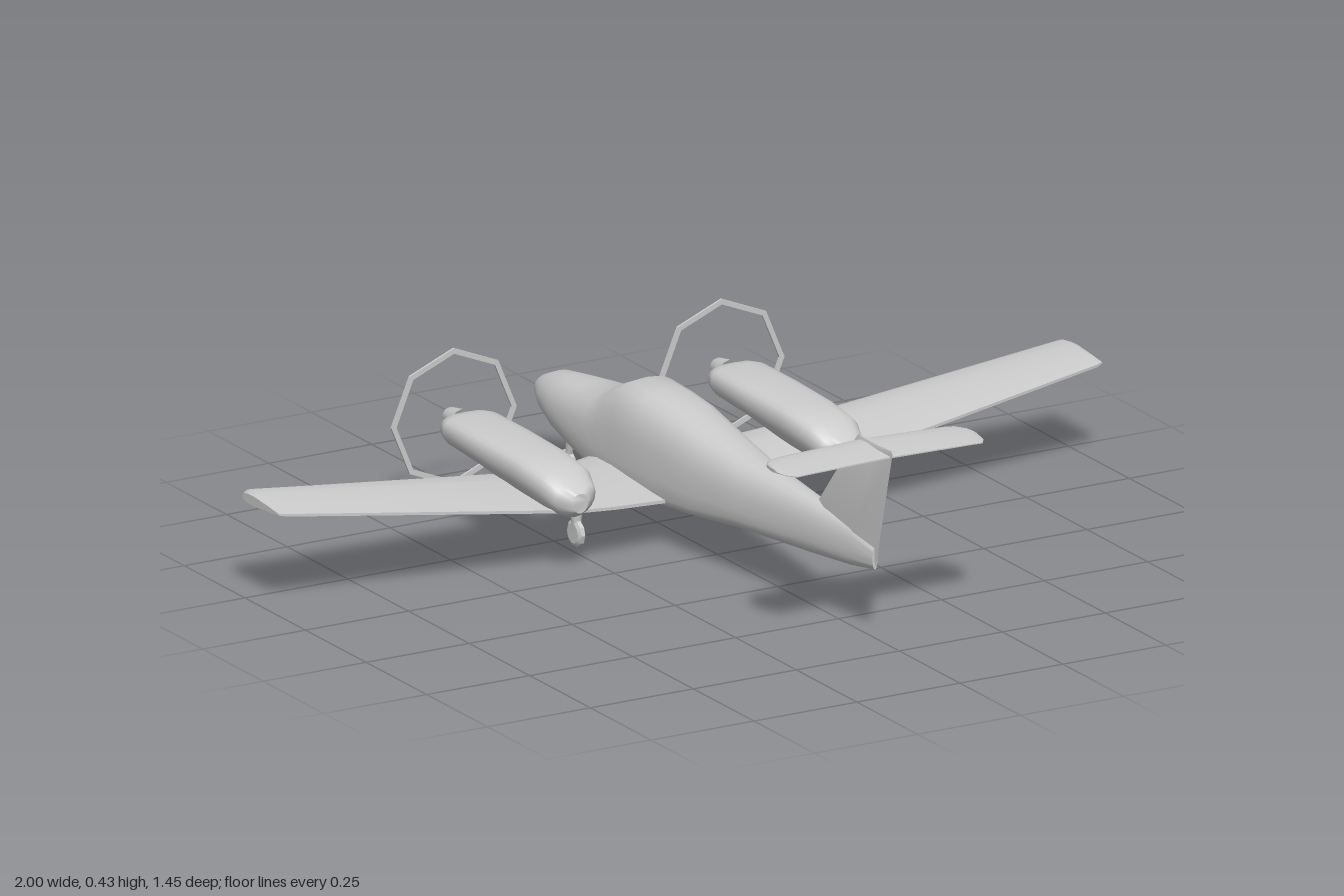
import * as THREE from 'three';
import { mergeVertices, toCreasedNormals } from 'three/addons/utils/BufferGeometryUtils.js';

const material = new THREE.MeshStandardMaterial({ color: 0xcccccc });

function addMesh(parent, name, geometry, x = 0, y = 0, z = 0) {
  const mesh = new THREE.Mesh(geometry, material);
  mesh.name = name;
  mesh.position.set(x, y, z);
  parent.add(mesh);
  return mesh;
}

// Closed skin over rings of [x, y, z]; rings run counter-clockwise about the loft direction
function loft(rings, crease = 0.6) {
  const n = rings[0].length;
  const positions = rings.flat(2);
  const index = [];
  for (let i = 0; i < rings.length - 1; i++) {
    for (let j = 0; j < n; j++) {
      const a = i * n + j, b = i * n + (j + 1) % n;
      index.push(a, b, b + n, a, b + n, a + n);
    }
  }
  const last = (rings.length - 1) * n;
  for (let j = 1; j < n - 1; j++) {
    index.push(0, j + 1, j, last, last + j, last + j + 1);
  }
  const geometry = new THREE.BufferGeometry();
  geometry.setAttribute('position', new THREE.Float32BufferAttribute(positions, 3));
  geometry.setIndex(index);
  return toCreasedNormals(mergeVertices(geometry, 1e-5), crease);
}

// Body section: half width, bottom, widest height, top, and squareness above and below
function bodyRing([z, w, bottom, mid, top, nTop, nBottom], sides) {
  const ring = [];
  for (let i = 0; i < sides; i++) {
    const t = (i / sides) * Math.PI * 2;
    const c = Math.cos(t), s = Math.sin(t);
    const p = 2 / (s >= 0 ? nTop : nBottom);
    const h = s >= 0 ? top - mid : bottom - mid;
    ring.push([w * Math.sign(c) * Math.abs(c) ** p, mid + h * Math.abs(s) ** p, z]);
  }
  return ring;
}

// Airfoil section: [chord fraction, height fraction], leading edge over the top to the trailing edge and back
const AIRFOIL = [[0, 0], [0.04, 0.3], [0.15, 0.48], [0.35, 0.5], [0.7, 0.3], [1, 0.08],
  [1, -0.08], [0.7, -0.3], [0.35, -0.5], [0.15, -0.48], [0.04, -0.3]];

// Symmetric wing from half-span stations [x, leading z, trailing z, y, thickness], root first
function wingGeometry(stations) {
  const mirrored = stations.slice(1).reverse().map(([x, ...rest]) => [-x, ...rest]);
  return loft([...mirrored, ...stations].map(([x, z0, z1, y, t]) =>
    AIRFOIL.map(([u, v]) => [x, y + v * t, z0 + u * (z1 - z0)])));
}

function strut(from, to, radiusTop, radiusBottom) {
  const a = new THREE.Vector3(...from), b = new THREE.Vector3(...to);
  const axis = a.clone().sub(b);
  const geometry = new THREE.CylinderGeometry(radiusTop, radiusBottom, axis.length(), 8);
  geometry.applyQuaternion(new THREE.Quaternion().setFromUnitVectors(
    new THREE.Vector3(0, 1, 0), axis.clone().normalize()));
  return geometry.translate(...a.add(b).multiplyScalar(0.5).toArray());
}

function wheelGeometry(radius, width) {
  const r = width / 2;
  const profile = [[0, -r], [radius * 0.75, -r], [radius, -r * 0.5],
    [radius, r * 0.5], [radius * 0.75, r], [0, r]];
  const geometry = new THREE.LatheGeometry(profile.map(p => new THREE.Vector2(...p)), 10);
  return toCreasedNormals(geometry.rotateZ(Math.PI / 2), 0.5);
}

function createEngine(side) {
  const engine = new THREE.Group();
  engine.name = side > 0 ? 'leftEngine' : 'rightEngine';
  engine.position.x = side * 0.325;

  // Nacelle, flat on top and pointed underneath
  const stations = [
    [-0.5, 0.045, 0.175, 0.205, 0.225, 2.5, 2],
    [-0.485, 0.062, 0.165, 0.204, 0.232, 3, 2],
    [-0.46, 0.07, 0.16, 0.203, 0.235, 3.2, 2],
    [-0.33, 0.071, 0.145, 0.2, 0.235, 3.2, 1.8],
    [-0.18, 0.069, 0.125, 0.195, 0.232, 3.2, 1.8],
    [-0.08, 0.064, 0.122, 0.185, 0.222, 3, 1.8],
    [-0.035, 0.05, 0.128, 0.175, 0.2, 2.5, 2],
    [-0.012, 0.02, 0.142, 0.168, 0.185, 2, 2],
  ];
  addMesh(engine, 'nacelle', loft(stations.map(s => bodyRing(s, 20)), 0.8));

  // Spinner pointing forward
  const profile = [[0.03, 0], [0.024, 0.025], [0.02, 0.05], [0.014, 0.062], [0, 0.068]];
  const spinner = new THREE.LatheGeometry(profile.map(p => new THREE.Vector2(...p)), 12);
  addMesh(engine, 'spinner', spinner.rotateX(-Math.PI / 2), 0, 0.205, -0.498);

  // Octagonal ring marking the propeller sweep
  const outline = (radius, Type) => new Type(Array.from({ length: 8 }, (_, i) =>
    new THREE.Vector2(Math.cos(i * Math.PI / 4), Math.sin(i * Math.PI / 4)).multiplyScalar(radius)));
  const shape = outline(0.152, THREE.Shape);
  shape.holes.push(outline(0.14, THREE.Path));
  const ring = new THREE.ExtrudeGeometry(shape, { depth: 0.005, bevelEnabled: false });
  addMesh(engine, 'propellerRing', ring, 0, 0.206, -0.538);
  return engine;
}

export function createModel() {
  const plane = new THREE.Group();
  plane.name = 'twinEngineAirplane';

  // Fuselage from nose to tail cone
  const body = [
    [-0.728, 0.012, 0.165, 0.175, 0.185, 2, 2],
    [-0.7, 0.033, 0.152, 0.175, 0.202, 2, 2],
    [-0.65, 0.056, 0.132, 0.172, 0.223, 2.1, 2.2],
    [-0.58, 0.071, 0.11, 0.165, 0.233, 2.2, 2.5],
    [-0.5, 0.083, 0.099, 0.16, 0.242, 2.4, 3],
    [-0.41, 0.09, 0.091, 0.155, 0.252, 2.6, 4],
    [-0.35, 0.093, 0.089, 0.15, 0.284, 2.7, 4.5],
    [-0.29, 0.095, 0.087, 0.15, 0.31, 3, 5],
    [-0.2, 0.095, 0.086, 0.15, 0.306, 3, 5],
    [-0.12, 0.092, 0.086, 0.15, 0.3, 3, 5],
    [0.02, 0.081, 0.095, 0.15, 0.278, 2.8, 4],
    [0.17, 0.066, 0.109, 0.16, 0.256, 2.6, 3],
    [0.42, 0.036, 0.124, 0.175, 0.241, 2.4, 2.6],
    [0.56, 0.018, 0.137, 0.175, 0.225, 2.2, 2.2],
    [0.65, 0.006, 0.152, 0.175, 0.2, 2, 2],
  ];
  addMesh(plane, 'fuselage', loft(body.map(s => bodyRing(s, 24)), 0.8));

  // Main wing with swept root fillets and dihedral
  addMesh(plane, 'wing', wingGeometry([
    [0, -0.41, -0.07, 0.11, 0.046],
    [0.09, -0.39, -0.07, 0.112, 0.046],
    [0.21, -0.333, -0.06, 0.121, 0.044],
    [0.3, -0.326, -0.054, 0.13, 0.042],
    [0.985, -0.274, -0.105, 0.222, 0.036],
    [1, -0.262, -0.112, 0.224, 0.022],
  ]));

  // Tall swept fin
  const fin = [[0.16, 0.36, 0.655, 0.009], [0.243, 0.42, 0.675, 0.009], [0.425, 0.575, 0.722, 0.007], [0.432, 0.583, 0.718, 0.004]];
  addMesh(plane, 'fin', loft(fin.map(([y, z0, z1, w]) => {
    const c = z1 - z0;
    return [[0, y, z1], [w, y, z1 - c * 0.35], [w, y, z0 + c * 0.15], [0, y, z0],
      [-w, y, z0 + c * 0.15], [-w, y, z1 - c * 0.35]];
  })));

  // Tailplane with rounded tips
  addMesh(plane, 'tailplane', wingGeometry([
    [0, 0.585, 0.715, 0.417, 0.02],
    [0.2, 0.585, 0.712, 0.412, 0.014],
    [0.225, 0.59, 0.712, 0.411, 0.013],
    [0.24, 0.61, 0.69, 0.41, 0.011],
    [0.245, 0.635, 0.665, 0.41, 0.008],
  ]));

  // Engines and main landing gear on both sides
  for (const side of [1, -1]) {
    plane.add(createEngine(side));
    const gear = new THREE.Group();
    gear.name = side > 0 ? 'leftMainGear' : 'rightMainGear';
    addMesh(gear, 'strut', strut([side * 0.225, 0.12, -0.2], [side * 0.225, 0.03, -0.2], 0.017, 0.009));
    addMesh(gear, 'wheel', wheelGeometry(0.03, 0.018), side * 0.225, 0.03, -0.2);
    plane.add(gear);
  }

  // Nose gear
  const noseGear = new THREE.Group();
  noseGear.name = 'noseGear';
  addMesh(noseGear, 'strut', strut([0, 0.13, -0.595], [0, 0.028, -0.617], 0.012, 0.007));
  addMesh(noseGear, 'wheel', wheelGeometry(0.028, 0.022), 0, 0.028, -0.62);
  plane.add(noseGear);
  return plane;
}
